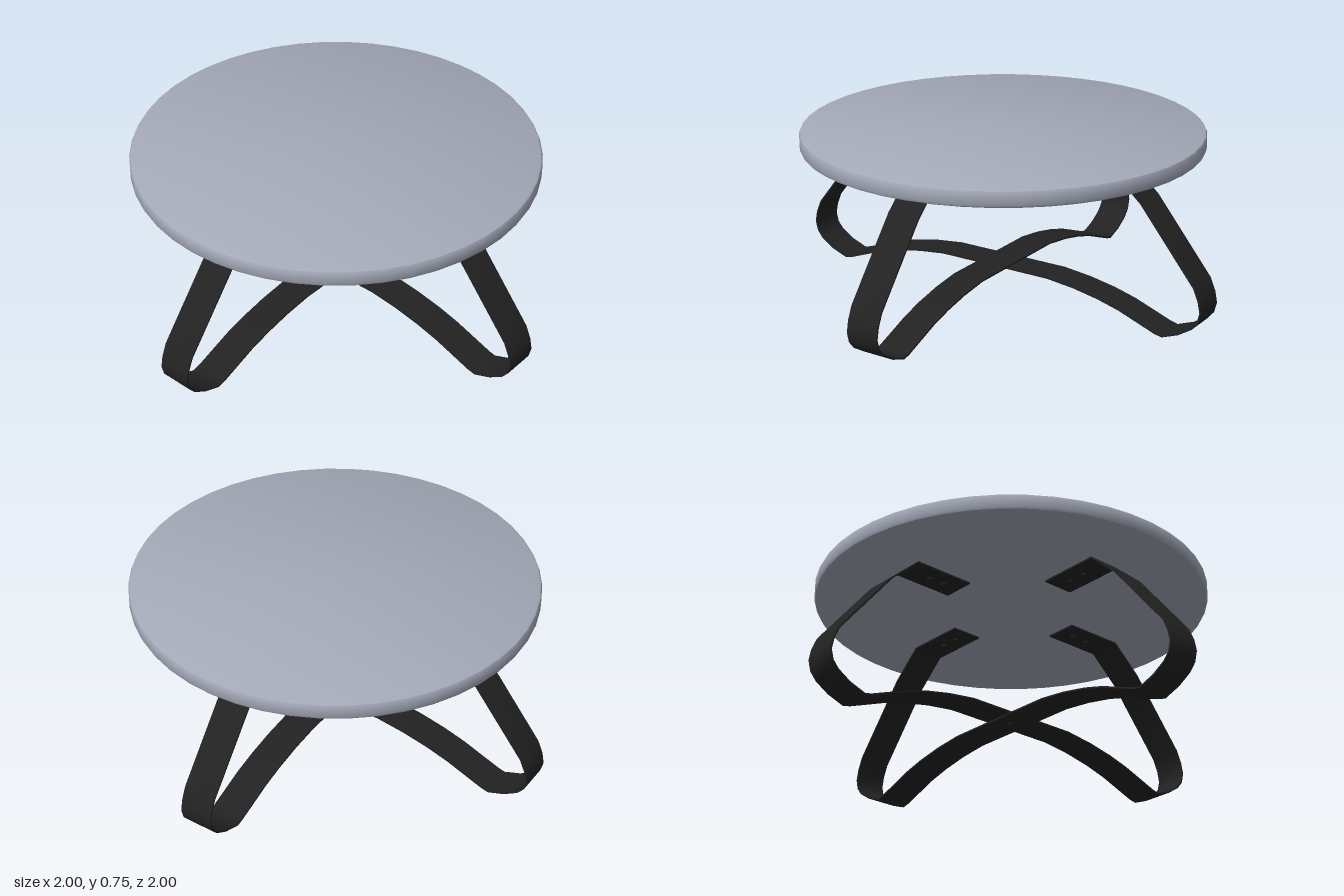
import * as THREE from 'three';
import { toCreasedNormals } from 'three/addons/utils/BufferGeometryUtils.js';

const HALF_WIDTH = 0.073;
const THICK = 0.007;

// Outer line of half a bent strap, from the mounting tab down to the crossing
const HALF_PATH = [
  [0.3, 0.681], [0.58, 0.681], [0.715, 0.56], [0.965, 0.25], [0.989, 0.195], [0.999, 0.145],
  [0.988, 0.1], [0.96, 0.066], [0.9, 0.028], [0.825, 0], [0.79, 0.008],
  [0.62, 0.073], [0.52, 0.102], [0.4, 0.127], [0.27, 0.144],
];

// Thin band: the path is closed by its own inward offset, then extruded across the width
function strapGeometry(drop) {
  const right = HALF_PATH.map(([x, y]) =>
    new THREE.Vector2(x, x < 0.7 && y < 0.2 ? y - drop * (1 - (x - 0.27) / 0.43) : y));
  const left = right.map((p) => new THREE.Vector2(-p.x, p.y)).reverse();
  const path = [...right, ...left];
  const inner = path.map((p, i) => {
    const a = path[Math.max(i - 1, 0)];
    const b = path[Math.min(i + 1, path.length - 1)];
    const t = b.clone().sub(a).normalize();
    return new THREE.Vector2(p.x + t.y * THICK, p.y - t.x * THICK);
  });
  const shape = new THREE.Shape([...path, ...inner.reverse()]);
  const geometry = new THREE.ExtrudeGeometry(shape, { depth: HALF_WIDTH * 2, bevelEnabled: false });
  geometry.translate(0, 0, -HALF_WIDTH);
  return toCreasedNormals(geometry, 0.6);
}

export function createModel() {
  const model = new THREE.Group();
  model.name = 'roundTable';

  const topMaterial = new THREE.MeshStandardMaterial({ color: 0xa4a9b8 });
  topMaterial.name = 'greyTop';
  const steel = new THREE.MeshStandardMaterial({ color: 0x222222 });
  steel.name = 'blackSteel';

  const add = (name, geometry, material, x = 0, y = 0, z = 0) => {
    const mesh = new THREE.Mesh(geometry, material);
    mesh.name = name;
    mesh.position.set(x, y, z);
    model.add(mesh);
    return mesh;
  };

  // Round top with softened rims
  const profile = [
    [0, 0.681], [0.848, 0.681], [0.858, 0.686], [0.863, 0.696],
    [0.863, 0.74], [0.858, 0.75], [0.848, 0.755], [0, 0.755],
  ].map(([r, y]) => new THREE.Vector2(r, y));
  add('tableTop', toCreasedNormals(new THREE.LatheGeometry(profile, 48), 0.6), topMaterial);

  // Two crossed straps, the second passing just under the first
  add('upperStrap', strapGeometry(0), steel);
  add('lowerStrap', strapGeometry(0.008), steel).rotation.y = Math.PI / 2;

  // Two screws under each mounting tab
  const screw = new THREE.CylinderGeometry(0.012, 0.012, 0.01, 12);
  for (let i = 0; i < 4; i++) {
    const angle = (i * Math.PI) / 2;
    for (const r of [0.38, 0.46]) {
      add('tabScrew', screw, steel, Math.cos(angle) * r, 0.67, Math.sin(angle) * r);
    }
  }

  // Bolt joining the straps at the crossing
  add('centreBolt', new THREE.CylinderGeometry(0.012, 0.012, 0.02, 12), steel, 0, 0.14, 0);

  return model;
}
